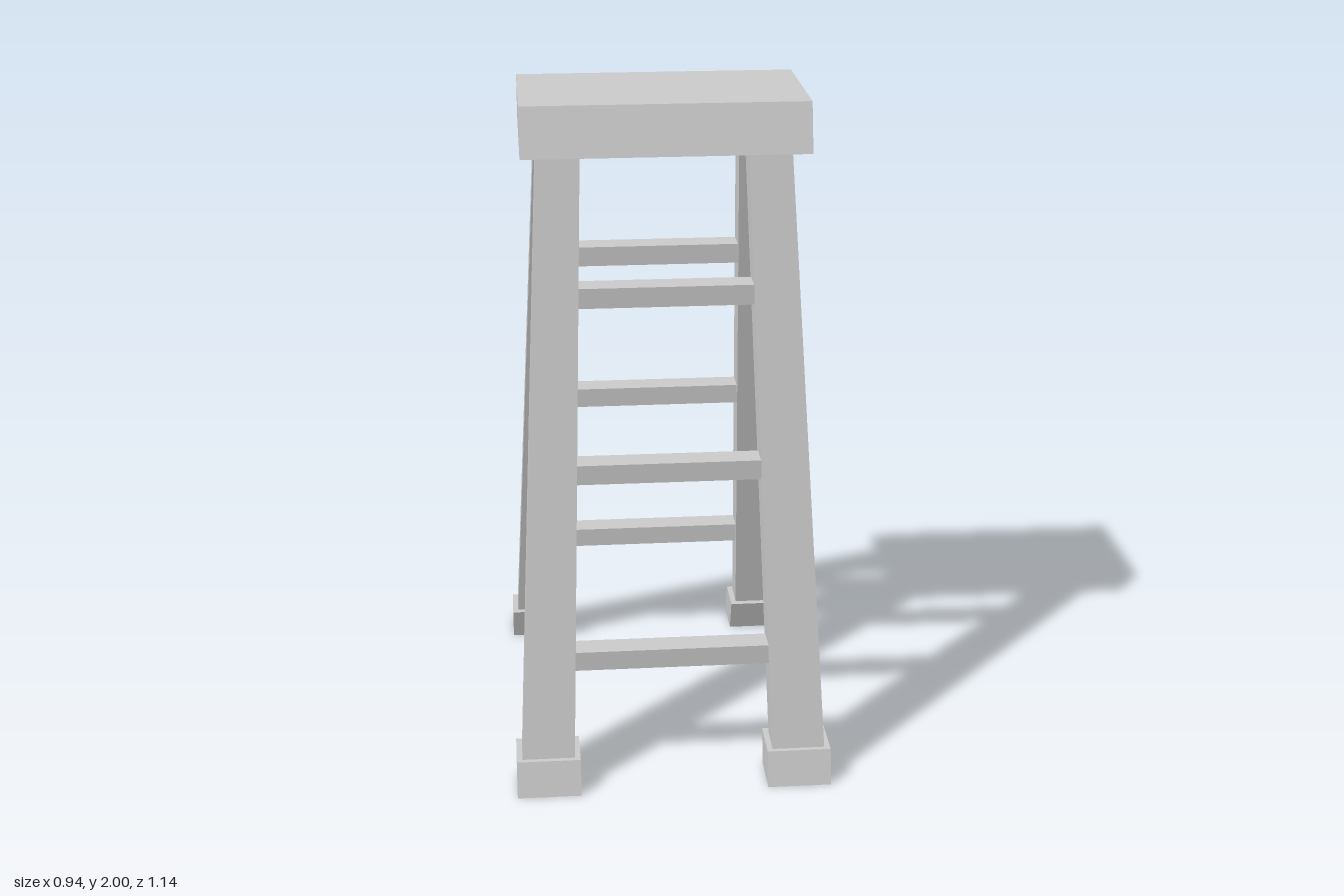
import * as THREE from 'three';

// Six-sided block between two rectangles [x0, x1, z0, z1] at heights y0 and y1
function block(name, y0, y1, low, high, openBottom = false) {
  const geo = new THREE.BoxGeometry(1, 1, 1);
  const p = geo.attributes.position;
  for (let i = 0; i < p.count; i++) {
    const up = p.getY(i) > 0;
    const r = up ? high : low;
    p.setXYZ(i, r[p.getX(i) > 0 ? 1 : 0], up ? y1 : y0, r[p.getZ(i) > 0 ? 3 : 2]);
  }
  if (openBottom) {
    const index = Array.from(geo.index.array);
    index.splice(18, 6); // the downward face
    geo.setIndex(index);
    geo.clearGroups();
  }
  geo.computeVertexNormals();
  const mesh = new THREE.Mesh(geo, new THREE.MeshStandardMaterial({
    color: 0xcccccc,
    flatShading: true,
    side: openBottom ? THREE.DoubleSide : THREE.FrontSide,
  }));
  mesh.name = name;
  return mesh;
}

// Mirror a rectangle across x and z
function mirror([x0, x1, z0, z1], sx, sz) {
  const xs = [x0 * sx, x1 * sx].sort((a, b) => a - b);
  const zs = [z0 * sz, z1 * sz].sort((a, b) => a - b);
  return [...xs, ...zs];
}

export function createModel() {
  const group = new THREE.Group();
  group.name = 'stepStool';

  // Top platform with sloping front and back
  group.add(block('seat', 1.86, 2, [-0.41, 0.41, -0.253, 0.253], [-0.41, 0.41, -0.21, 0.21]));

  for (const sz of [1, -1]) {
    const end = sz > 0 ? 'front' : 'back';

    // Splayed legs and their hollow feet
    for (const sx of [1, -1]) {
      const name = end + (sx > 0 ? 'Left' : 'Right');
      group.add(block(name + 'Leg', 0.1, 1.86,
        mirror([0.297, 0.453, 0.428, 0.527], sx, sz),
        mirror([0.24, 0.365, 0.067, 0.16], sx, sz)));
      group.add(block(name + 'Foot', 0, 0.105,
        mirror([0.28, 0.47, 0.438, 0.57], sx, sz),
        mirror([0.28, 0.47, 0.406, 0.54], sx, sz), true));
    }

    // Rungs between each pair of legs
    [[0.39, 0.42], [0.94, 0.305], [1.445, 0.2]].forEach(([y, z], i) => {
      const half = 0.315 - 0.032 * y;
      const rect = mirror([-half, half, z - 0.037, z + 0.037], 1, sz);
      group.add(block(`${end}Rung${i + 1}`, y - 0.03, y + 0.03, rect, rect));
    });
  }
  return group;
}
